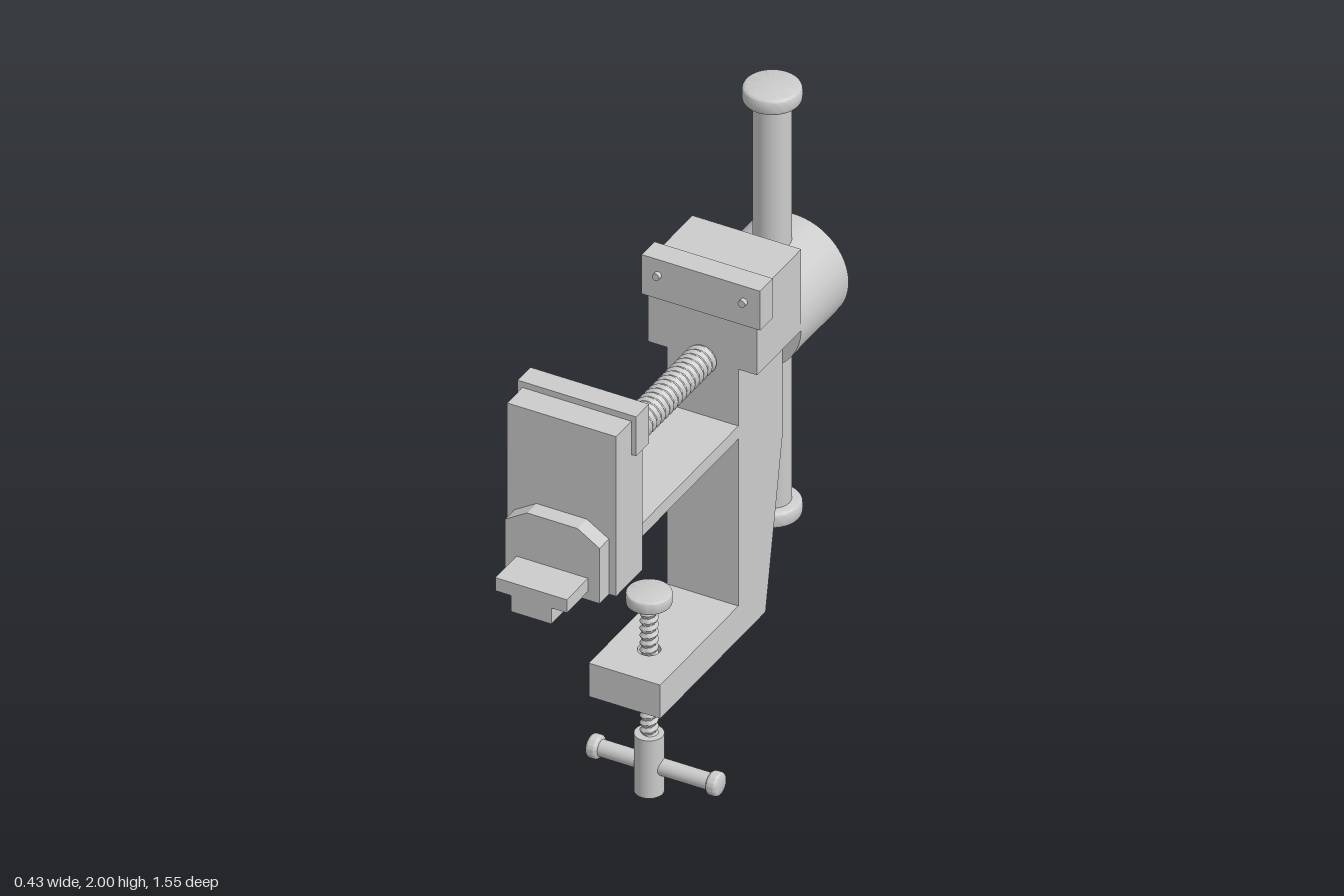
import * as THREE from 'three';
import { toCreasedNormals } from 'three/addons/utils/BufferGeometryUtils.js';

const CX = -0.022; // centre plane of the vise
const material = new THREE.MeshStandardMaterial({ color: 0xcccccc });

function add(parent, name, geometry, x = 0, y = 0, z = 0) {
  const mesh = new THREE.Mesh(geometry, material);
  mesh.name = name;
  mesh.position.set(x, y, z);
  parent.add(mesh);
  return mesh;
}

// Block centred on the vise plane, given by its y and z limits
function block(parent, name, width, y0, y1, z0, z1) {
  return add(parent, name, new THREE.BoxGeometry(width, y1 - y0, z1 - z0), CX, (y0 + y1) / 2, (z0 + z1) / 2);
}

const shapeOf = (points) => new THREE.Shape(points.map(([x, y]) => new THREE.Vector2(x, y)));

// Disc with rounded rims, centred on its own y axis
function knob(radius, height, round) {
  const h = height / 2;
  const profile = [new THREE.Vector2(0, -h)];
  for (const side of [-1, 1]) {
    for (let i = 0; i <= 4; i++) {
      const a = (side < 0 ? i - 4 : i) * Math.PI / 8;
      profile.push(new THREE.Vector2(radius - round + round * Math.cos(a), side * (h - round) + round * Math.sin(a)));
    }
  }
  profile.push(new THREE.Vector2(0, h));
  return toCreasedNormals(new THREE.LatheGeometry(profile, 40), 0.6);
}

// Rod along y whose radius follows a helical ridge
function threadedRod(radius, depth, pitch, length) {
  const geometry = new THREE.CylinderGeometry(1, 1, length, 24, Math.round(length / pitch) * 8, true);
  const p = geometry.attributes.position;
  for (let i = 0; i < p.count; i++) {
    const a = Math.atan2(p.getX(i), p.getZ(i));
    const turn = p.getY(i) / pitch - a / (2 * Math.PI);
    const wave = Math.abs(2 * (turn - Math.floor(turn)) - 1);
    const r = radius - depth * wave;
    p.setXYZ(i, Math.sin(a) * r, p.getY(i), Math.cos(a) * r);
  }
  return toCreasedNormals(geometry, 0.5);
}

// Bar along y with a rounded knob at each end
function knobbedBar(name, length, radius, knobRadius, knobHeight, round) {
  const bar = new THREE.Group();
  bar.name = name;
  add(bar, name + 'Rod', new THREE.CylinderGeometry(radius, radius, length - knobHeight, 32));
  for (const s of [-1, 1]) {
    add(bar, name + 'Knob', knob(knobRadius, knobHeight, round), 0, s * (length - knobHeight) / 2, 0);
  }
  return bar;
}

// Gripping plate with two small screws facing the opposite jaw
function jawPlate(parent, name, z0, z1, dir) {
  block(parent, name, 0.386, 1.465, 1.6, z0, z1);
  const face = dir > 0 ? z1 : z0;
  for (const s of [-1, 1]) {
    const screw = add(parent, name + 'Screw', new THREE.CylinderGeometry(0.012, 0.012, 0.03, 16), CX + s * 0.14, 1.547, face);
    screw.rotation.x = Math.PI / 2;
  }
}

export function createModel() {
  const vise = new THREE.Group();
  vise.name = 'clampOnVise';

  // Fixed body: tapered column, drawn as (-z, y) and extruded across x
  const column = new THREE.ExtrudeGeometry(
    shapeOf([[0.235, 0.37], [0.395, 0.37], [0.495, 0.92], [0.495, 1.3], [0.235, 1.3]]),
    { depth: 0.233, bevelEnabled: false });
  column.translate(0, 0, -0.1165).rotateY(Math.PI / 2);
  add(vise, 'column', column, CX);

  // Clamp arm with a hole for the clamp screw
  const armShape = shapeOf([[-0.1165, -0.225], [0.1165, -0.225], [0.1165, 0.235], [-0.1165, 0.235]]);
  armShape.holes.push(new THREE.Path().absarc(0, -0.08, 0.034, 0, Math.PI * 2, true));
  const arm = new THREE.ExtrudeGeometry(armShape, { depth: 0.115, bevelEnabled: false, curveSegments: 16 });
  arm.rotateX(-Math.PI / 2);
  add(vise, 'clampArm', arm, CX, 0.37, 0);

  block(vise, 'fixedJaw', 0.355, 1.3, 1.58, -0.495, -0.235);
  jawPlate(vise, 'fixedJawPlate', -0.3, -0.225, 1);

  // T-shaped guide rail
  const rail = new THREE.ExtrudeGeometry(
    shapeOf([[-0.066, 1.005], [0.066, 1.005], [0.066, 1.06], [0.1165, 1.06],
      [0.1165, 1.105], [-0.1165, 1.105], [-0.1165, 1.06], [-0.066, 1.06]]),
    { depth: 1.01, bevelEnabled: false });
  add(vise, 'guideRail', rail, CX, 0, -0.235);

  // Sliding jaw with its chamfered front boss
  block(vise, 'slidingJaw', 0.355, 1.03, 1.58, 0.44, 0.595);
  jawPlate(vise, 'slidingJawPlate', 0.43, 0.505, -1);
  const boss = new THREE.ExtrudeGeometry(
    shapeOf([[-0.154, 1.03], [0.154, 1.03], [0.154, 1.22], [0.082, 1.265], [-0.082, 1.265], [-0.154, 1.22]]),
    { depth: 0.055, bevelEnabled: false });
  add(vise, 'slidingJawBoss', boss, CX, 0, 0.595);

  // Main screw, its head and handle
  add(vise, 'mainScrew', threadedRod(0.049, 0.007, 0.025, 0.7), CX, 1.303, 0.1025).rotation.x = Math.PI / 2;
  add(vise, 'mainScrewHead', new THREE.CylinderGeometry(0.177, 0.177, 0.28, 64), CX, 1.3, -0.635).rotation.x = Math.PI / 2;
  const handle = knobbedBar('mainHandle', 1.475, 0.056, 0.087, 0.053, 0.014);
  handle.position.set(CX, 1.2625, -0.645);
  vise.add(handle);

  // Clamp screw with pressure pad, socket and cross bar
  add(vise, 'clampScrew', threadedRod(0.028, 0.008, 0.025, 0.47), CX, 0.425, 0.08);
  add(vise, 'clampPad', knob(0.067, 0.04, 0.006), CX, 0.665, 0.08);
  add(vise, 'clampSocket', new THREE.CylinderGeometry(0.044, 0.044, 0.198, 32), CX, 0.099, 0.08);
  const crossBar = knobbedBar('clampCrossBar', 0.428, 0.026, 0.037, 0.037, 0.012);
  crossBar.rotation.z = Math.PI / 2;
  crossBar.position.set(-0.003, 0.09, 0.075);
  vise.add(crossBar);

  return vise;
}
